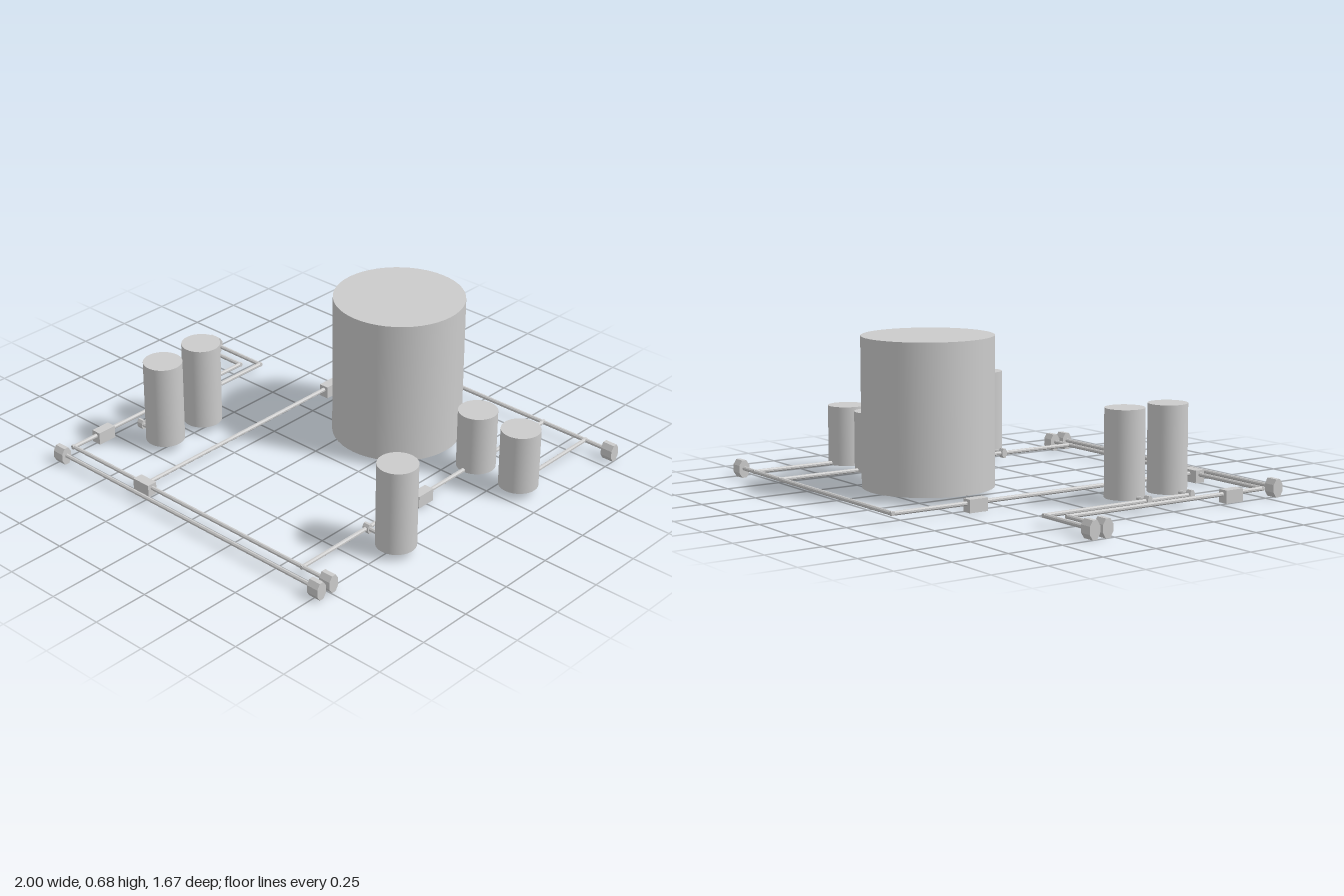
import * as THREE from 'three';

const PIPE_Y = 0.042;

export function createModel() {
  const model = new THREE.Group();
  const smooth = new THREE.MeshStandardMaterial({ color: 0xcccccc });
  const flat = new THREE.MeshStandardMaterial({ color: 0xcccccc, flatShading: true });

  const add = (name, geometry, material, x, y, z) => {
    const mesh = new THREE.Mesh(geometry, material);
    mesh.name = name;
    mesh.position.set(x, y, z);
    model.add(mesh);
    return mesh;
  };

  // Upright storage tanks standing at pipe level
  const tank = (name, x, z, radius, top) => {
    const bottom = 0.034;
    add(name, new THREE.CylinderGeometry(radius, radius, top - bottom, 48), smooth, x, (top + bottom) / 2, z);
  };
  tank('mainTank', 0.163, -0.348, 0.284, 0.68);
  tank('leftTallTank', 0.765, 0.35, 0.085, 0.41);
  tank('rightRearTallTank', -0.523, 0.172, 0.085, 0.41);
  tank('rightFrontTallTank', -0.523, 0.4, 0.085, 0.41);
  tank('innerShortTank', 0.613, -0.345, 0.085, 0.3);
  tank('outerShortTank', 0.842, -0.345, 0.085, 0.3);

  // Pipe runs, each a chain of [x, z] corners joined by straight lengths
  const radius = 0.0095;
  const pipeRun = (name, points) => {
    for (let i = 1; i < points.length; i++) {
      const [ax, az] = points[i - 1];
      const [bx, bz] = points[i];
      const length = Math.hypot(bx - ax, bz - az) + 2 * radius * 0.9;
      const geometry = new THREE.CylinderGeometry(radius, radius, length, 8);
      geometry.rotateY(Math.PI / 8);
      if (Math.abs(bx - ax) > Math.abs(bz - az)) geometry.rotateZ(Math.PI / 2);
      else geometry.rotateX(Math.PI / 2);
      add(name, geometry, flat, (ax + bx) / 2, PIPE_Y, (az + bz) / 2);
    }
  };
  pipeRun('rightInnerPipe', [[-0.97, -0.346], [-0.675, -0.346], [-0.675, 0.4]]);
  pipeRun('rightTankBranch', [[-0.675, 0.175], [-0.6, 0.175]]);
  pipeRun('rightTankBranch', [[-0.675, 0.4], [-0.6, 0.4]]);
  pipeRun('mainPipe', [[-0.97, -0.283], [-0.743, -0.283], [-0.743, 0.736], [0.752, 0.736]]);
  pipeRun('frontPipe', [[-0.737, 0.806], [0.752, 0.806]]);
  pipeRun('rearPipe', [[-0.294, 0.736], [-0.294, -0.815], [0.967, -0.815]]);
  pipeRun('crossPipe', [[0.613, 0.736], [0.613, -0.815]]);
  pipeRun('leftTankBranch', [[0.613, 0.352], [0.7, 0.352]]);
  pipeRun('shortTankBranch', [[0.842, -0.815], [0.842, -0.345]]);

  // Tall octagonal couplings lying along x
  const coupling = (name, x, z, length, height, depth) => {
    const r = 0.5 / Math.cos(Math.PI / 8);
    const geometry = new THREE.CylinderGeometry(r, r, 1, 8);
    geometry.rotateY(Math.PI / 8).rotateZ(Math.PI / 2).scale(length, height, depth);
    add(name, geometry, flat, x, name === 'endCoupling' ? height / 2 : PIPE_Y, z);
  };
  const ends = [[-0.973, -0.346], [-0.973, -0.283], [-0.738, 0.806], [0.752, 0.806], [0.752, 0.736], [0.972, -0.815]];
  for (const [x, z] of ends) coupling('endCoupling', x, z, 0.055, 0.078, 0.05);
  for (const [x, z] of [[-0.675, 0.175], [-0.675, 0.4], [0.613, 0.352]]) {
    coupling('branchCoupling', x, z, 0.03, 0.043, 0.025);
  }

  // Rectangular valve blocks
  const valve = (x, z, width, depth) =>
    add('valveBlock', new THREE.BoxGeometry(width, 0.056, depth), flat, x, 0.033, z);
  valve(-0.295, 0.736, 0.09, 0.046);
  valve(-0.745, 0.562, 0.046, 0.09);
  valve(-0.295, -0.416, 0.046, 0.09);
  valve(0.613, 0.01, 0.046, 0.09);

  return model;
}
